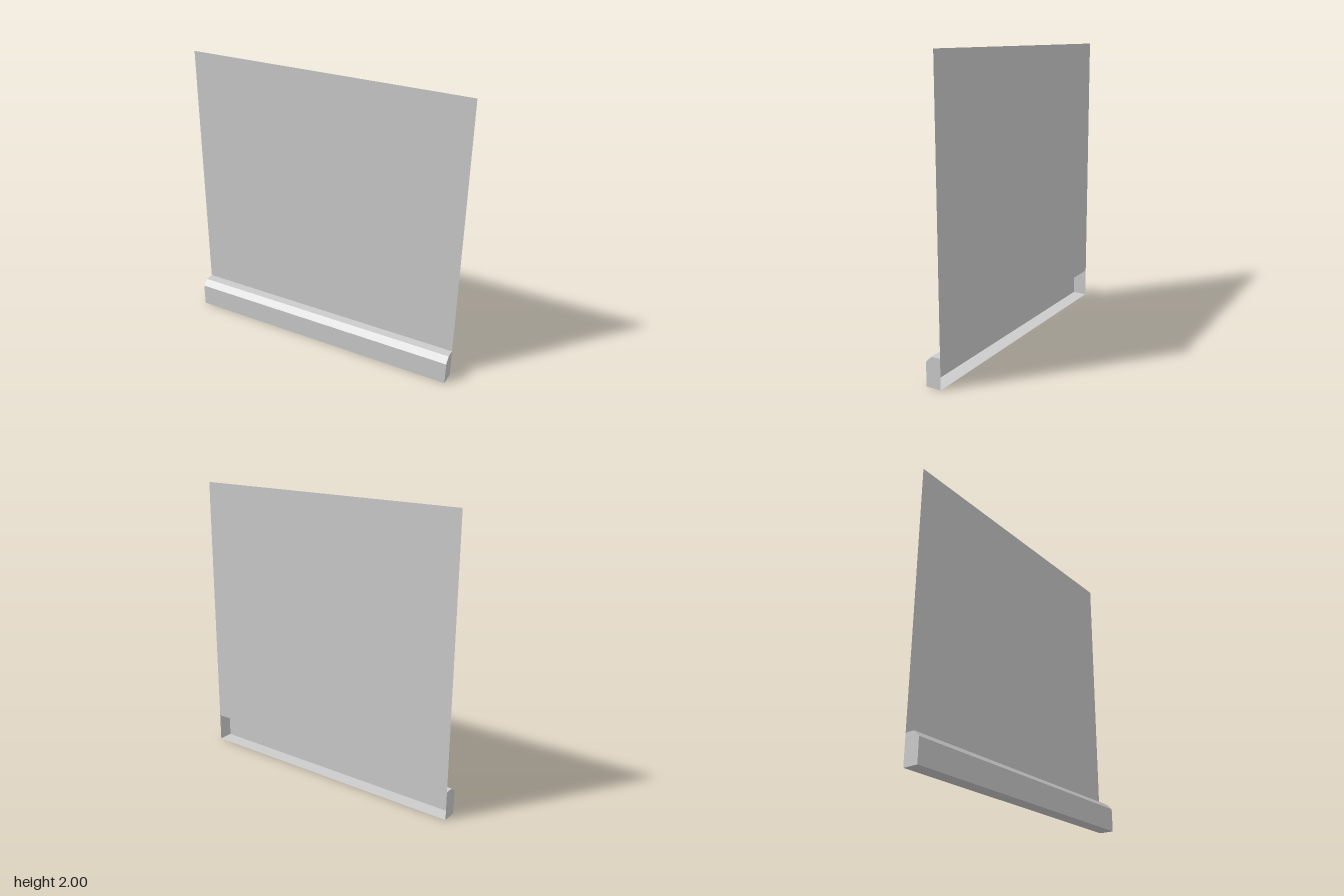
import * as THREE from 'three';

const HALF = 1;        // half length of the wall
const BACK = -0.052;   // plane of the wall
const FRONT = 0.052;   // face of the baseboard
const BOARD_H = 0.2;
const CHAMFER = 0.04;
const WALL_TOP = 2;

export function createModel() {
  const group = new THREE.Group();
  const material = new THREE.MeshStandardMaterial({
    color: 0xcccccc, flatShading: true, side: THREE.DoubleSide,
  });

  const add = (parent, name, geometry) => {
    const mesh = new THREE.Mesh(geometry, material);
    mesh.name = name;
    parent.add(mesh);
  };

  // Flat strip running the full length between two [z, y] profile points
  const strip = ([z0, y0], [z1, y1]) =>
    new THREE.PlaneGeometry(2 * HALF, Math.hypot(z1 - z0, y1 - y0))
      .rotateX(Math.atan2(z1 - z0, y1 - y0))
      .translate(0, (y0 + y1) / 2, (z0 + z1) / 2);

  // Thin wall sheet rising from the back edge of the baseboard
  add(group, 'wallPanel', strip([BACK, BOARD_H], [BACK, WALL_TOP]));

  // Baseboard: hollow chamfered shell, open at the back
  const baseboard = new THREE.Group();
  baseboard.name = 'baseboard';
  group.add(baseboard);
  const profile = [
    [BACK, 0], [FRONT, 0], [FRONT, BOARD_H - CHAMFER],
    [FRONT - CHAMFER, BOARD_H], [BACK, BOARD_H],
  ];
  ['baseboardBottom', 'baseboardFront', 'baseboardChamfer', 'baseboardTop']
    .forEach((name, i) => add(baseboard, name, strip(profile[i], profile[i + 1])));

  // End caps closing both ends of the shell
  for (const side of [1, -1]) {
    const shape = new THREE.Shape(profile.map(([z, y]) => new THREE.Vector2(-side * z, y)));
    add(baseboard, side > 0 ? 'leftEndCap' : 'rightEndCap',
      new THREE.ShapeGeometry(shape).rotateY(side * Math.PI / 2).translate(side * HALF, 0, 0));
  }

  return group;
}
